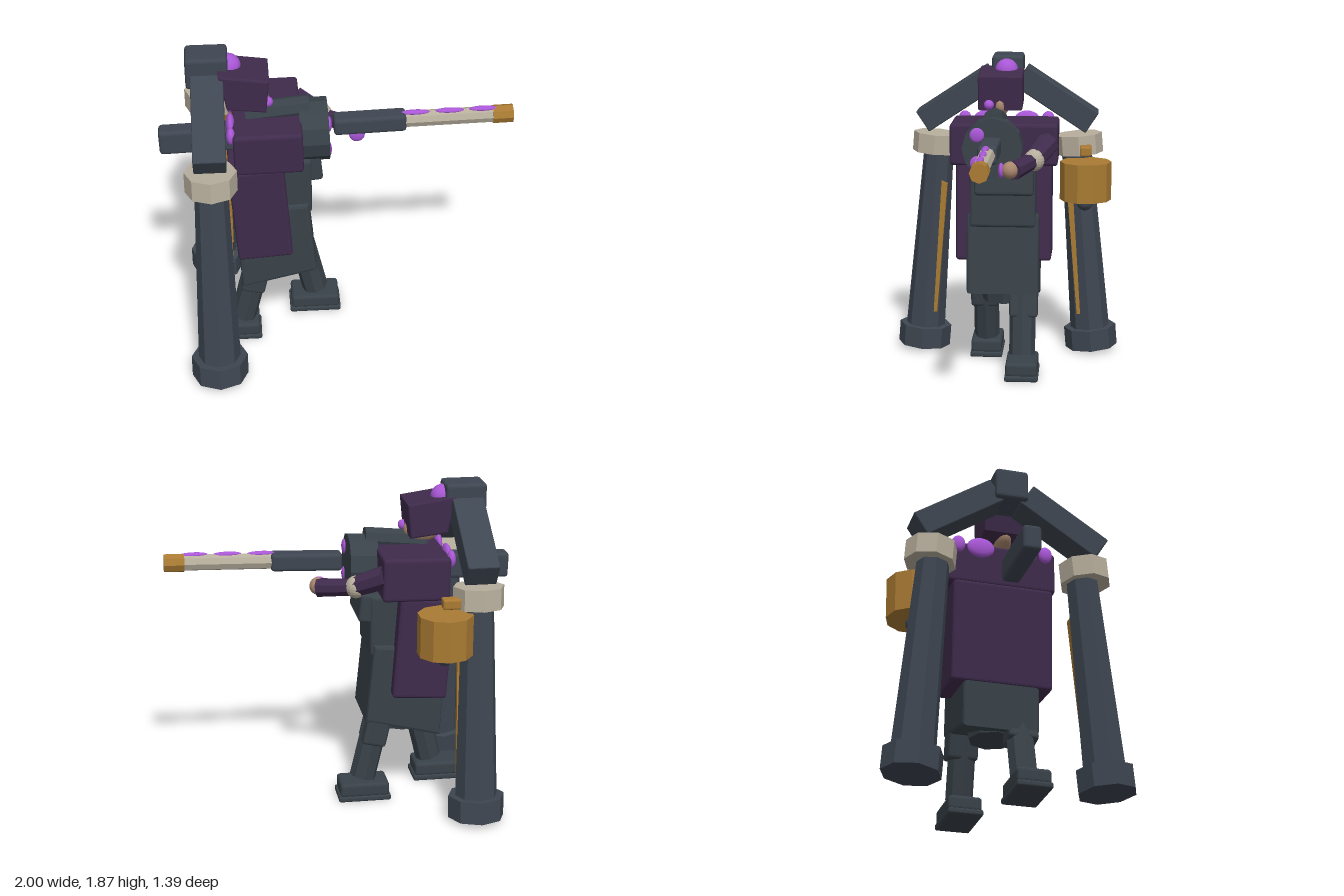
import * as THREE from 'three';
import { RoundedBoxGeometry } from 'three/addons/geometries/RoundedBoxGeometry.js';

const mat = (name, color, flatShading = true) => {
  const m = new THREE.MeshStandardMaterial({ color, flatShading });
  m.name = name;
  return m;
};

export function createModel() {
  const root = new THREE.Group();
  root.name = 'cannonWalker';
  const slate = mat('slate metal', 0x3e4651);
  const iron = mat('dark iron', 0x394249);
  const purple = mat('purple cloth', 0x3f2b4c);
  const glow = mat('violet glow', 0xa957d6, false);
  const bone = mat('pale bone', 0xb8af9d);
  const gold = mat('aged gold', 0xa97a33);
  const skin = mat('tan skin', 0xa9876d, false);

  const add = (name, geo, material, pos = [0, 0, 0]) => {
    const m = new THREE.Mesh(geo, material);
    m.name = name;
    m.position.set(...pos);
    root.add(m);
    return m;
  };
  const box = (name, material, size, pos, rot = [0, 0, 0], r = 0.02) => {
    const m = add(name, new RoundedBoxGeometry(...size, 2, r), material, pos);
    m.rotation.set(...rot);
    return m;
  };
  const ball = (name, material, radii, pos) => {
    const m = add(name, new THREE.SphereGeometry(1, 16, 12), material, pos);
    m.scale.set(...radii);
    return m;
  };
  // Tapered cylinder running from point a to point b
  const rod = (name, material, a, b, ra, rb = ra, sides = 8) => {
    const A = new THREE.Vector3(...a), B = new THREE.Vector3(...b);
    const dir = B.clone().sub(A);
    const m = add(name, new THREE.CylinderGeometry(rb, ra, dir.length(), sides), material);
    m.position.copy(A).add(B).multiplyScalar(0.5);
    m.quaternion.setFromUnitVectors(new THREE.Vector3(0, 1, 0), dir.normalize());
    return m;
  };
  // Side outline in x,y given width along z and softened edges
  const prism = (name, material, pts, z0, z1, bevel = 0.015) => {
    const shape = new THREE.Shape(pts.map((p) => new THREE.Vector2(...p)));
    const geo = new THREE.ExtrudeGeometry(shape, {
      depth: z1 - z0 - 2 * bevel, bevelSize: bevel, bevelThickness: bevel,
      bevelOffset: -bevel, bevelSegments: 2,
    });
    return add(name, geo, material, [0, 0, z0 + bevel]);
  };

  // Support towers with feet, collars, gold inlays and roof beams
  for (const s of [1, -1]) {
    const at = (y) => [-0.715, y, s * (0.535 - 0.083 * y)];
    rod('towerFoot', slate, at(0.02), at(0.15), 0.163);
    rod('towerColumn', slate, at(0.14), at(1.28), 0.122, 0.092);
    rod('towerCollar', bone, at(1.26), at(1.38), 0.145).position.z += s * 0.018;
    const strip = new THREE.Shape([[0.405, 1.09], [0.37, 1.07], [0.44, 0.25], [0.462, 0.25]]
      .map(([z, y]) => new THREE.Vector2(-s * z, y)));
    const inlay = add('towerInlay', new THREE.ExtrudeGeometry(strip, { depth: 0.08, bevelEnabled: false }),
      gold, [-0.69, 0, 0]);
    inlay.rotation.y = Math.PI / 2;
    box('roofBeam', slate, [0.18, 0.148, 0.52], [-0.715, 1.6, s * 0.305], [s * 0.58, 0, 0], 0.008);
  }
  box('roofBlock', slate, [0.235, 0.185, 0.19], [-0.715, 1.78, -0.005]);

  // Hooded head
  prism('hood', purple, [[-0.655, 1.805], [-0.61, 1.59], [-0.395, 1.565], [-0.375, 1.765]], -0.105, 0.162, 0.012);
  ball('face', skin, [0.11, 0.075, 0.05], [-0.485, 1.59, 0.03]);
  ball('crownOrb', glow, [0.07, 0.07, 0.07], [-0.595, 1.785, 0]);
  ball('eye', glow, [0.03, 0.03, 0.03], [-0.385, 1.6, 0.095]);

  // Torso and coat
  box('torso', purple, [0.385, 0.25, 0.64], [-0.393, 1.385, -0.003], [0, 0, 0.015]);
  box('coat', purple, [0.315, 0.6, 0.575], [-0.445, 0.96, 0.002], [0, 0, 0.07]);
  for (const s of [1, -1]) {
    ball('spineLightInner', glow, [0.025, 0.06, 0.08], [-0.597, 1.478, s * 0.125]);
    ball('spineLightOuter', glow, [0.025, 0.05, 0.04], [-0.597, 1.485, s * 0.255]);
  }
  prism('lowerBody', iron, [[-0.59, 0.95], [-0.565, 0.395], [-0.125, 0.5], [-0.17, 0.97]], -0.215, 0.215, 0.02);
  box('belly', iron, [0.35, 0.36, 0.39], [-0.325, 1.08, 0]);
  box('chestPlate', iron, [0.22, 0.17, 0.35], [-0.2, 1.18, -0.01], [0, 0, 0.1]);
  rod('pelvis', iron, [-0.36, 0.41, 0], [-0.36, 0.52, 0], 0.13, 0.15);

  // Cannon
  const tilt = 0.03, cz = 0.055;
  rod('breechDisc', iron, [-0.21, 1.385, cz], [-0.048, 1.39, cz], 0.178, 0.178, 12);
  rod('upperDrum', iron, [-0.51, 1.505, cz], [-0.15, 1.54, cz], 0.066);
  for (const y of [1.305, 1.47]) ball('breechLight', glow, [0.015, 0.043, 0.043], [-0.048, y, cz + 0.088]);
  box('barrelHousing', slate, [0.41, 0.102, 0.11], [0.187, 1.419, cz], [0, 0, tilt]);
  rod('barrel', bone, [0.37, 1.426, cz], [0.9, 1.438, cz], 0.047);
  rod('muzzle', gold, [0.885, 1.436, cz], [0.999, 1.439, cz], 0.053);
  for (const [x, y] of [[0.445, 1.472], [0.64, 1.476], [0.83, 1.48]])
    ball('barrelLight', glow, [0.083, 0.014, 0.02], [x, y, cz + 0.005]);
  box('cannonTail', slate, [0.5, 0.148, 0.105], [-0.75, 1.36, cz], [0, 0, tilt]);

  // Right arm
  rod('upperArm', purple, [-0.22, 1.4, -0.265], [-0.06, 1.325, -0.185], 0.07, 0.06);
  ball('elbowCuff', bone, [0.06, 0.065, 0.06], [-0.065, 1.325, -0.19]);
  rod('forearm', purple, [-0.06, 1.32, -0.18], [0.135, 1.295, -0.075], 0.048, 0.055);
  ball('hand', skin, [0.048, 0.05, 0.048], [0.135, 1.3, -0.06]);
  ball('wristLight', glow, [0.045, 0.045, 0.018], [0.122, 1.295, -0.008]);

  // Hanging gold canister
  rod('canister', gold, [-0.52, 1.005, -0.487], [-0.52, 1.24, -0.487], 0.157, 0.157, 10);
  box('canisterHandle', gold, [0.14, 0.06, 0.07], [-0.57, 1.3, -0.485], [0, 0, 0], 0.012);
  ball('canisterKnob', slate, [0.05, 0.05, 0.05], [-0.52, 0.985, -0.483]);

  // Striding legs
  const legs = [
    { z: -0.12, hip: [-0.2, 0.48], ankle: [-0.12, 0.13], foot: -0.122, lean: 0.22 },
    { z: 0.12, hip: [-0.48, 0.48], ankle: [-0.565, 0.13], foot: -0.615, lean: -0.22 },
  ];
  for (const { z, hip, ankle, foot, lean } of legs) {
    box('thigh', iron, [0.14, 0.17, 0.17], [hip[0] + lean * 0.04, 0.43, z * 1.05], [0, 0, lean]);
    rod('shin', iron, [...ankle, z], [...hip, z], 0.078, 0.078);
    box('foot', iron, [0.29, 0.085, 0.19], [foot, 0.07, z]);
    box('sole', iron, [0.31, 0.035, 0.2], [foot, 0.0185, z], [0, 0, 0], 0.012);
  }
  return root;
}
